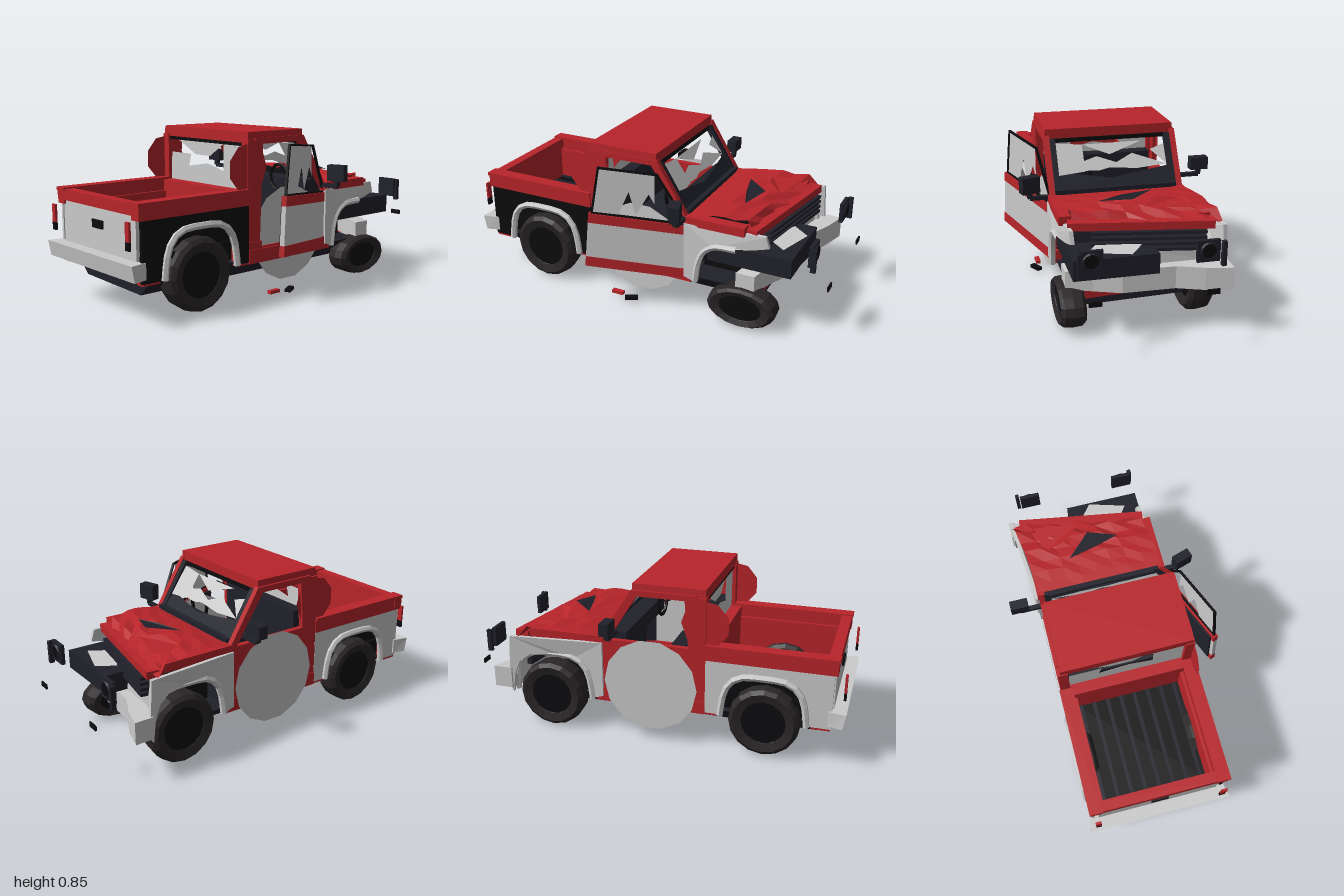
import * as THREE from 'three';

const mat = (color, side = THREE.FrontSide) =>
  new THREE.MeshStandardMaterial({ color, side, flatShading: true });
const RED = mat(0xb8252a), DARK = mat(0x20202a), BLACK = mat(0x0c0c0e);
const TYRE = mat(0x2a2527, THREE.DoubleSide), GREY = mat(0xcccccc), GREY2 = mat(0xcccccc, THREE.DoubleSide);
const RED2 = mat(0xb8252a, THREE.DoubleSide), DARK2 = mat(0x20202a, THREE.DoubleSide);

export function createModel() {
  const root = new THREE.Group();
  root.name = 'wreckedPickup';

  const add = (name, geo, m, x = 0, y = 0, z = 0, parent = root) => {
    const mesh = new THREE.Mesh(geo, m);
    mesh.name = name;
    mesh.position.set(x, y, z);
    parent.add(mesh);
    return mesh;
  };
  // box given by its limits
  const box = (name, m, x0, x1, y0, y1, z0, z1, parent = root) =>
    add(name, new THREE.BoxGeometry(x1 - x0, y1 - y0, z1 - z0), m,
      (x0 + x1) / 2, (y0 + y1) / 2, (z0 + z1) / 2, parent);
  const vecs = pts => pts.map(p => new THREE.Vector2(...p));
  const plate = (name, m, pts, z, depth, hole, parent = root) => {
    const s = new THREE.Shape(vecs(pts));
    if (hole) s.holes.push(new THREE.Path(vecs(hole)));
    return add(name, new THREE.ExtrudeGeometry(s, { depth, bevelEnabled: false }), m, 0, 0, z, parent);
  };
  // moves every vertex by a rule
  const bend = (geo, rule) => {
    const p = geo.attributes.position, v = new THREE.Vector3();
    for (let i = 0; i < p.count; i++) {
      rule(v.fromBufferAttribute(p, i));
      p.setXYZ(i, v.x, v.y, v.z);
    }
    geo.computeVertexNormals();
    return geo;
  };
  // thin loose facets
  const shard = (name, m, pts) => {
    const flat = [];
    for (let i = 1; i < pts.length - 1; i++) flat.push(...pts[0], ...pts[i], ...pts[i + 1]);
    const g = new THREE.BufferGeometry();
    g.setAttribute('position', new THREE.Float32BufferAttribute(flat, 3));
    g.computeVertexNormals();
    add(name, g, m);
  };

  // chassis: one slab, narrower below and dropped on the left
  add('floorSlab', bend(new THREE.BoxGeometry(1.5, 0.09, 0.66), v => {
    if (v.y < 0) { v.z *= 0.72; v.y -= 0.025 * v.z; }
  }), DARK, -0.11, 0.175, -0.01);
  for (const x of [-0.59, 0.56]) box('axle', DARK, x - 0.03, x + 0.03, 0.15, 0.21, -0.3, 0.28);

  // cargo bed
  box('bedFloor', BLACK, -0.92, -0.29, 0.3, 0.33, -0.34, 0.32);
  for (let i = 0; i < 8; i++) box('bedRib', DARK, -0.9, -0.31, 0.33, 0.338, -0.29 + i * 0.075, -0.27 + i * 0.075);
  box('bedFrontWall', RED, -0.33, -0.29, 0.22, 0.57, -0.36, 0.34);
  box('tailgate', GREY, -0.935, -0.91, 0.28, 0.52, -0.33, 0.31);
  box('tailgateLining', RED, -0.91, -0.895, 0.31, 0.52, -0.33, 0.31);
  box('tailgateTop', RED, -0.945, -0.89, 0.52, 0.575, -0.375, 0.35);
  box('tailgateSill', RED, -0.93, -0.88, 0.21, 0.28, -0.36, 0.34);
  box('tailgateHandle', BLACK, -0.945, -0.93, 0.42, 0.46, -0.05, 0.04);

  // squarish wheel arch, running from rear foot to front foot
  const arch = [[-0.22, 0.21], [-0.205, 0.32], [-0.175, 0.39], [-0.12, 0.43], [0, 0.44], [0.12, 0.43], [0.175, 0.39], [0.205, 0.32], [0.22, 0.21]];
  const archAt = cx => arch.map(([x, y]) => [cx + x, y]);
  const flare = (pts, z) => add('archFlare', new THREE.TubeGeometry(
    new THREE.CatmullRomCurve3(pts.map(([x, y]) => new THREE.Vector3(x, y, z))), 14, 0.018, 6), GREY);
  for (const s of [1, -1]) {
    const out = s > 0 ? 0.35 : -0.37;
    const inner = out - s * 0.06, lo = Math.min(out, inner), hi = Math.max(out, inner);
    box('bedRail', RED, -0.945, -0.29, 0.5, 0.575, lo, hi);
    box('bedRailLip', RED, -0.95, -0.29, 0.565, 0.582, lo - 0.005, hi + 0.005);
    box('bedInnerWall', RED, -0.92, -0.3, 0.33, 0.51, inner - s * 0.01 - 0.008, inner - s * 0.01 + 0.008);
    box('wheelWell', BLACK, -0.84, -0.34, 0.23, 0.48, inner - 0.006, inner + 0.006);
    plate('bedSide', s > 0 ? BLACK : GREY,
      [[-0.93, 0.21], ...archAt(-0.59), [-0.29, 0.21], [-0.29, 0.5], [-0.93, 0.5]], out - s * 0.012 - 0.008, 0.016);
    flare(archAt(-0.59), out);
    box('rearCornerPanel', RED, -0.925, -0.83, 0.2, 0.3, lo + 0.005, hi - 0.005);
    box('frontCornerPanel', RED, -0.36, -0.2, 0.2, 0.31, lo + 0.005, hi - 0.005);
    box('sill', RED, -0.29, 0.3, 0.2, 0.27, lo, hi);
    box('wingTopEdge', RED, 0.26, s > 0 ? 0.58 : 0.68, 0.52, 0.565, lo, hi);
    // round flat panel hanging over the door opening
    add('looseSidePanel', new THREE.CircleGeometry(0.25, 14), GREY2, 0, 0.325, s > 0 ? 0.33 : -0.377);
    add('bentRearQuarter', new THREE.CircleGeometry(0.125, 9), RED2, -0.285, 0.685, s > 0 ? 0.335 : -0.355);
    // detached tail lamps
    const lamp = out - s * 0.03;
    box('tailLamp', RED, -0.99, -0.978, 0.41, 0.5, lamp - 0.015, lamp + 0.015);
    box('tailLampBase', BLACK, -0.99, -0.978, 0.37, 0.41, lamp - 0.015, lamp + 0.015);
  }

  // front wings: the right one bulges outward, the left one has lost its front half
  const rightWing = plate('rightWing', GREY2,
    [[0.26, 0.23], ...archAt(0.54), [0.78, 0.25], [0.76, 0.53], [0.26, 0.53]], -0.38, 0.02);
  bend(rightWing.geometry, v => { v.z -= Math.max(0, v.x - 0.5) * 0.18; });
  flare(archAt(0.54), -0.375);
  const leftWing = plate('leftWing', GREY2,
    [[0.26, 0.23], ...archAt(0.54).slice(0, 5), [0.62, 0.45], [0.7, 0.47], [0.68, 0.53], [0.26, 0.53]], 0.335, 0.02);
  bend(leftWing.geometry, v => { v.z -= Math.max(0, v.x - 0.45) * 0.15; });
  flare(archAt(0.54).slice(0, 5), 0.345);

  // rear bumper: a tapered bar
  add('rearBumper', bend(new THREE.BoxGeometry(0.09, 0.08, 0.76), v => {
    if (v.x > 0) v.z *= 0.95;
    if (v.y < 0 && v.x < 0) v.x += 0.015;
  }), GREY, -0.955, 0.27, -0.012);

  // cab
  const sideOutline = [[-0.29, 0.25], [0.28, 0.25], [0.28, 0.54], [0.1, 0.83], [-0.24, 0.83], [-0.29, 0.56]];
  plate('cabSideRight', RED, sideOutline, -0.365, 0.03,
    [[-0.2, 0.55], [-0.18, 0.8], [0.07, 0.8], [0.23, 0.55]]);
  plate('cabSideLeft', RED, sideOutline, 0.31, 0.03,
    [[-0.21, 0.28], [-0.19, 0.8], [0.07, 0.8], [0.25, 0.54], [0.25, 0.28]]);
  add('roof', bend(new THREE.BoxGeometry(0.38, 0.055, 0.69), v => { if (v.y > 0) v.z *= 0.99; }),
    RED, -0.095, 0.835, -0.01);
  box('cabBackPanel', RED, -0.3, -0.265, 0.22, 0.57, -0.36, 0.335);
  for (const z of [-0.34, 0.315]) {
    box('rearPillar', RED, -0.29, -0.24, 0.55, 0.82, z - 0.025, z + 0.025);
    const post = add('windscreenPost', new THREE.BoxGeometry(0.03, 0.31, 0.03), DARK, 0.175, 0.675, z + (z > 0 ? -0.02 : 0.02));
    post.rotation.z = 0.56;
  }
  box('rearWindowTop', BLACK, -0.28, -0.25, 0.79, 0.815, -0.33, 0.31);
  box('windscreenHeader', BLACK, 0.06, 0.1, 0.79, 0.812, -0.32, 0.3);

  // cracked rear window, leaving a few gaps
  const rear = (y, z) => [-0.27, y, z];
  shard('rearGlass', GREY2, [rear(0.57, 0.3), rear(0.79, 0.3), rear(0.79, 0.13), rear(0.57, 0.13)]);
  shard('rearGlass', GREY2, [rear(0.57, 0.13), rear(0.65, 0.13), rear(0.68, 0), rear(0.65, -0.18), rear(0.57, -0.18)]);
  shard('rearGlass', GREY2, [rear(0.57, -0.18), rear(0.72, -0.14), rear(0.72, -0.31), rear(0.57, -0.32)]);
  shard('rearGlass', GREY2, [rear(0.79, 0.13), rear(0.72, 0.02), rear(0.72, -0.1), rear(0.79, -0.25)]);

  // cabin
  box('firewall', DARK, 0.25, 0.28, 0.22, 0.56, -0.34, 0.32);
  box('dashboard', DARK, 0.14, 0.27, 0.5, 0.585, -0.33, 0.31);
  box('benchSeat', DARK, -0.2, 0.02, 0.27, 0.38, -0.31, 0.29);
  box('seatBack', DARK, -0.25, -0.18, 0.35, 0.63, -0.31, 0.29);
  box('cabinMirror', BLACK, 0.07, 0.09, 0.73, 0.76, -0.05, 0.03);
  const steering = add('steeringWheel', new THREE.TorusGeometry(0.07, 0.01, 5, 12), BLACK, 0.1, 0.59, 0.16);
  steering.rotation.y = Math.PI / 2;

  // broken windscreen: points (z, height fraction) on the sloping pane
  const screen = ([z, t]) => [0.26 - 0.16 * t, 0.56 + 0.235 * t, z];
  const pane = (m, pts) => shard('windscreenShard', m, pts.map(screen));
  pane(GREY2, [[0.29, 0.35], [0.28, 0.97], [0.14, 0.92], [0.14, 0.4]]);
  pane(GREY2, [[0.28, 0.45], [0.07, 0.68], [-0.06, 0.5], [0.07, 0.4]]);
  pane(GREY2, [[0.02, 0.45], [-0.12, 0.7], [-0.3, 0.45], [-0.14, 0.4]]);
  pane(GREY2, [[0.14, 0.92], [0, 0.7], [-0.18, 0.93]]);
  pane(GREY2, [[-0.3, 0.45], [-0.22, 0.75], [-0.3, 0.85]]);
  pane(DARK2, [[0.29, 0.1], [0.27, 0.42], [0, 0.25], [-0.3, 0.42], [-0.31, 0.1]]);

  // left door, swung open and sagging
  const door = new THREE.Group();
  door.name = 'openDoor';
  door.position.set(0.25, 0, 0.335);
  door.rotation.set(0, 0.36, -0.09);
  root.add(door);
  box('doorSkin', GREY, -0.53, 0, 0.265, 0.46, -0.012, 0.012, door);
  box('doorLowerTrim', RED, -0.53, 0, 0.21, 0.265, -0.014, 0.014, door);
  box('doorUpperTrim', RED, -0.53, 0, 0.46, 0.51, -0.014, 0.014, door);
  box('doorLining', DARK, -0.51, -0.02, 0.23, 0.49, -0.024, -0.013, door);
  plate('doorWindowFrame', BLACK, [[-0.52, 0.51], [-0.02, 0.51], [-0.2, 0.765], [-0.5, 0.765]], -0.006, 0.012,
    [[-0.508, 0.518], [-0.49, 0.756], [-0.205, 0.756], [-0.038, 0.518]], door);
  const glass = [[-0.508, 0.518], [-0.38, 0.52], [-0.335, 0.65], [-0.29, 0.53], [-0.235, 0.65], [-0.2, 0.6], [-0.215, 0.755], [-0.49, 0.755]];
  add('doorGlass', new THREE.ShapeGeometry(new THREE.Shape(vecs(glass))), GREY2, 0, 0, 0, door);

  // wing mirrors
  const mirror = (name, x, y, z, z0, h, turn) => {
    const head = add(name, new THREE.BoxGeometry(0.05, h, 0.095), DARK, x, y, z);
    head.rotation.y = turn;
    const armY = y - h / 2 - 0.03;
    box(name + 'Post', DARK, x - 0.012, x + 0.012, armY, y, z - 0.012, z + 0.012);
    box(name + 'Arm', DARK, x - 0.012, x + 0.012, armY - 0.01, armY + 0.01, Math.min(z, z0), Math.max(z, z0));
  };
  mirror('leftMirror', 0.255, 0.625, 0.44, 0.32, 0.085, 0.3);
  mirror('rightMirror', 0.19, 0.66, -0.475, -0.36, 0.065, 0);

  // crumpled bonnet: a coarse grid pushed back on the left and folded
  const bonnet = new THREE.PlaneGeometry(1, 0.7, 7, 8).rotateX(-Math.PI / 2);
  add('crumpledBonnet', bend(bonnet, v => {
    const u = v.x + 0.5, z = v.z - 0.015;
    const fold = Math.sin(u * 23 + z * 9) * Math.cos(z * 17 + u * 4);
    v.set(0.26 + (0.41 - 0.16 * z) * u + fold * 0.015 * u,
      0.56 + 0.03 * Math.sin(u * 3) + fold * 0.02 * u - (u > 0.9 ? 0.03 : 0),
      z - 0.055 * u * u);
  }), RED2);
  shard('tornBonnetFlap', DARK2, [[0.42, 0.61, -0.15], [0.55, 0.615, -0.02], [0.5, 0.6, 0.14], [0.46, 0.61, 0.02]]);
  shard('tornBonnetFlap', RED2, [[0.5, 0.59, -0.28], [0.66, 0.59, -0.3], [0.62, 0.6, -0.06], [0.53, 0.615, -0.14]]);
  box('engine', BLACK, 0.3, 0.56, 0.22, 0.5, -0.2, 0.18);

  // pushed-in nose, further back on the left
  const front = new THREE.Group();
  front.name = 'bentNose';
  front.position.set(0.66, 0, -0.01);
  front.rotation.y = -0.17;
  root.add(front);
  box('radiatorPanel', DARK, -0.03, 0, 0.34, 0.52, -0.33, 0.33, front);
  box('bonnetEdge', RED, -0.05, 0.03, 0.51, 0.55, -0.37, 0.33, front);
  for (let i = 0; i < 4; i++) box('grilleBar', DARK, 0, 0.05, 0.41 + i * 0.028, 0.425 + i * 0.028, -0.33, 0.22, front);
  shard('nosePanel', GREY2, [[0.73, 0.33, -0.38], [0.73, 0.43, -0.36], [0.7, 0.4, -0.1], [0.7, 0.33, -0.06]]);

  // torn radiator case jutting out in front
  box('radiatorCase', DARK, 0.38, 0.82, 0.34, 0.44, -0.08, 0.33);
  shard('caseCover', GREY2, [[0.64, 0.45, 0.17], [0.75, 0.445, 0.25], [0.81, 0.445, 0.05], [0.72, 0.45, -0.02]]);

  // front bumper, skewed, kinked and pinched at its left end
  add('frontBumper', bend(new THREE.BoxGeometry(0.1, 0.115, 0.77, 1, 1, 6), v => {
    if (v.z > 0.3) v.y *= 0.8;
    v.x += -0.25 * v.z + 0.02 * Math.sin(v.z * 14);
    v.y += -0.04 * v.z;
  }), GREY, 0.7, 0.277, -0.05);
  add('lowerValance', bend(new THREE.BoxGeometry(0.06, 0.06, 0.48), v => { v.y -= 0.04 * v.z; }), RED, 0.62, 0.2, 0);

  // detached lamps in front
  for (const z of [-0.28, 0.265]) {
    box('headlampCase', DARK, 0.895, 0.915, 0.42, 0.525, z - 0.055, z + 0.055);
    const ring = add('headlampRing', new THREE.TorusGeometry(0.036, 0.008, 5, 14), DARK, 0.918, 0.475, z);
    ring.rotation.y = Math.PI / 2;
    const lens = add('headlampLens', new THREE.CylinderGeometry(0.034, 0.034, 0.012, 14), BLACK, 0.918, 0.475, z);
    lens.rotation.z = Math.PI / 2;
    box('fogLamp', BLACK, 0.992, 1.0, 0.297, 0.322, z - 0.03, z + 0.03);
  }
  for (const z of [-0.35, 0.32]) box('cornerLamp', DARK, 0.91, 0.935, 0.4, 0.52, z - 0.01, z + 0.01);

  // wheels; the left front one is crushed
  const profile = vecs([[0.115, -0.05], [0.16, -0.062], [0.18, -0.045], [0.185, 0], [0.18, 0.045], [0.16, 0.062], [0.115, 0.05]]);
  const wheel = (x, y, z, squash = 1) => {
    const w = new THREE.Group();
    w.name = 'wheel';
    w.position.set(x, y, z);
    w.scale.y = squash;
    root.add(w);
    add('tyre', new THREE.LatheGeometry(profile, 16).rotateX(Math.PI / 2), TYRE, 0, 0, 0, w);
    add('rim', new THREE.CylinderGeometry(0.125, 0.125, 0.07, 20).rotateX(Math.PI / 2), BLACK, 0, 0, 0, w);
    add('rimEdge', new THREE.TorusGeometry(0.122, 0.007, 4, 20), DARK, 0, 0, Math.sign(z) * 0.045, w);
  };
  wheel(-0.595, 0.2, 0.302);
  wheel(-0.595, 0.2, -0.325);
  wheel(0.56, 0.198, -0.328);
  wheel(0.575, 0.122, 0.31, 0.6);

  // small pieces on the ground
  box('redDebris', RED, -0.16, -0.095, 0.025, 0.042, 0.345, 0.37);
  const bit = box('darkDebris', BLACK, -0.07, 0, 0.025, 0.042, 0.365, 0.395);
  bit.rotation.y = 0.5;

  return root;
}
